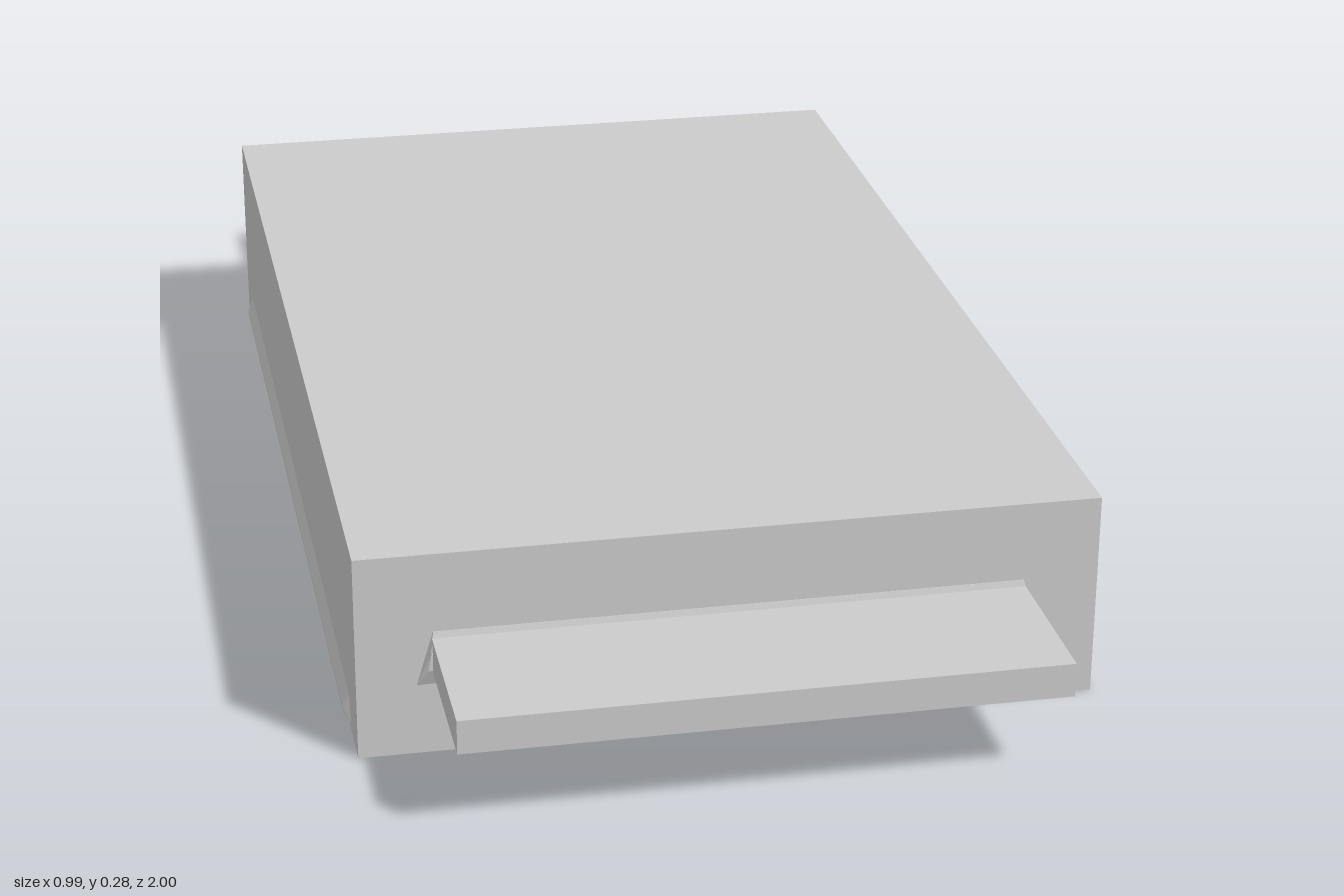
import * as THREE from 'three';
import { ConvexGeometry } from 'three/addons/geometries/ConvexGeometry.js';

const material = new THREE.MeshStandardMaterial({ color: 0xcccccc, flatShading: true });

function addBox(parent, name, size, position) {
  const mesh = new THREE.Mesh(new THREE.BoxGeometry(...size), material);
  mesh.name = name;
  mesh.position.set(...position);
  parent.add(mesh);
}

// Tapered ridge running along x and bulging out along +z.
// Each rail is [half length, height, outward offset].
function ridgeGeometry(rails) {
  const points = rails.flatMap(([half, y, out]) => [
    new THREE.Vector3(-half, y, out),
    new THREE.Vector3(half, y, out),
  ]);
  return new ConvexGeometry(points);
}

export function createModel() {
  const group = new THREE.Group();
  const bodyX = 0.488, bodyZ = 0.78, height = 0.282;

  // Main slab
  addBox(group, 'body', [bodyX * 2, height, bodyZ * 2], [0, height / 2, 0]);

  const collar = ridgeGeometry([
    [0.388, 0.173, -0.01], [0.388, 0.173, 0.001], [0.392, 0.145, 0.01],
    [0.396, 0.122, 0.01], [0.41, 0.099, 0.001], [0.41, 0.099, -0.01],
  ]);
  const sideRidge = ridgeGeometry([
    [0.69, 0.045, -0.01], [0.69, 0.045, 0], [0.685, 0.026, 0.009],
    [0.69, 0.016, 0.008], [0.705, 0.01, 0], [0.705, 0.01, -0.01],
  ]);

  for (const side of [1, -1]) {
    // Flat tab with its collar at each end
    const end = side > 0 ? 'front' : 'back';
    addBox(group, end + 'Tab', [0.78, 0.046, 0.24], [0, 0.142, side * 0.88]);
    const endCollar = new THREE.Mesh(collar, material);
    endCollar.name = end + 'Collar';
    endCollar.rotation.y = side > 0 ? 0 : Math.PI;
    endCollar.position.z = side * bodyZ;
    group.add(endCollar);

    // Low ridge along each long side
    const ridge = new THREE.Mesh(sideRidge, material);
    ridge.name = side > 0 ? 'leftRidge' : 'rightRidge';
    ridge.rotation.y = side * Math.PI / 2;
    ridge.position.x = side * bodyX;
    group.add(ridge);
  }
  return group;
}
